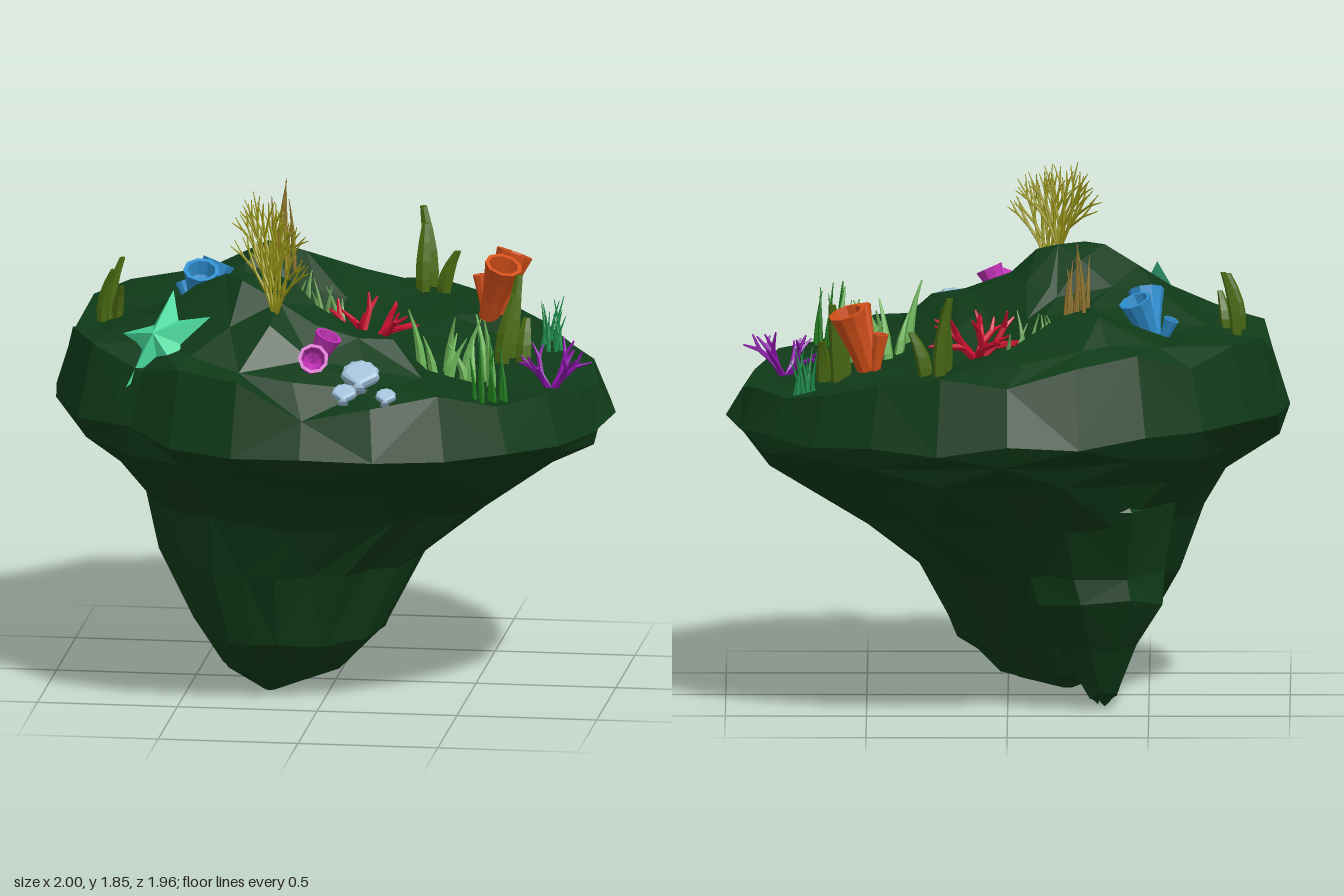
import * as THREE from 'three';
import { mergeGeometries } from 'three/addons/utils/BufferGeometryUtils.js';

const V = (x, y, z) => new THREE.Vector3(x, y, z);
const UP = V(0, 1, 0);

let seed = 7;
const rnd = (a = 0, b = 1) => {
  seed = (seed * 16807) % 2147483647;
  return a + (b - a) * (seed / 2147483647);
};

const mesh = (name, geo, color, side = THREE.FrontSide) => {
  const m = new THREE.Mesh(geo, new THREE.MeshStandardMaterial({ color, flatShading: true, side }));
  m.name = name;
  return m;
};

// Height marks on the island top: x, z, y
const MARKS = [
  [-0.3, 0.4, 1.59], [-0.18, 0.42, 1.58], [-0.13, 0.58, 1.49], [-0.45, 0.33, 1.5],
  [0.1, 0, 1.2], [-0.05, -0.2, 1.22], [0.48, 0.28, 1.14], [0.2, 0.5, 1.39], [0.42, 0.62, 1.24],
  [0.03, 0.72, 1.31], [0.19, 0.78, 1.28], [0.22, 0.88, 1.19], [-0.3, 0.78, 1.27],
  [-0.55, 0.53, 1.33], [-0.78, 0.1, 1.33], [-0.5, -0.15, 1.3], [-0.25, 0.1, 1.36],
  [-0.75, -0.3, 1.34], [-0.3, -0.52, 1.48], [0, -0.75, 1.34], [0.24, -0.7, 1.26],
  [-0.5, -0.65, 1.35], [0.5, -0.45, 1.25], [0.6, -0.15, 1.14], [0.79, 0.15, 1.12],
  [0.62, 0.56, 1.15], [0.72, -0.4, 1.12], [0.93, 0, 1.1], [0, 0.94, 1.13],
  [-0.65, 0.64, 1.2], [-0.93, 0, 1.23], [-0.66, -0.66, 1.26], [0, -0.93, 1.23], [0.66, -0.66, 1.17],
];
function ground(x, z) {
  let sum = 0, total = 0;
  for (const [mx, mz, y] of MARKS) {
    const w = 1 / (Math.hypot(x - mx, z - mz) ** 3 + 0.0004);
    sum += w * y;
    total += w;
  }
  return sum / total;
}
const onGround = (x, z, lift = 0) => V(x, ground(x, z) + lift, z);
const slope = (x, z, e = 0.08) =>
  V(ground(x - e, z) - ground(x + e, z), 2 * e, ground(x, z - e) - ground(x, z + e)).normalize();

// Skin over closed rings listed from the bottom to the top
function loft(rings) {
  const n = rings[0].length, pos = [];
  const tri = (...pts) => pts.forEach(p => pos.push(p.x, p.y, p.z));
  for (let i = 0; i < rings.length - 1; i++) {
    for (let j = 0; j < n; j++) {
      const k = (j + 1) % n, lo = rings[i], hi = rings[i + 1];
      if ((i + j) % 2) { tri(lo[j], hi[j], lo[k]); tri(lo[k], hi[j], hi[k]); }
      else { tri(lo[j], hi[j], hi[k]); tri(lo[j], hi[k], lo[k]); }
    }
  }
  const g = new THREE.BufferGeometry();
  g.setAttribute('position', new THREE.Float32BufferAttribute(pos, 3));
  g.computeVertexNormals();
  return g;
}
// Rough oval ring: y, x range, z range
function oval([y, x0, x1, z0, z1], n, rough) {
  return Array.from({ length: n }, (_, j) => {
    const a = (j / n) * Math.PI * 2, s = 1 + rnd(-rough, rough);
    return V((x0 + x1) / 2 + Math.cos(a) * s * (x1 - x0) / 2, y + rnd(-rough, rough) * 0.35,
      (z0 + z1) / 2 + Math.sin(a) * s * (z1 - z0) / 2);
  });
}

// Rim radius every 15 degrees, from +x round through +z
const RIM = [1, 0.99, 1, 1, 1.01, 1.01, 0.975, 0.97, 0.97, 0.92, 0.99, 1, 1, 0.99, 0.98, 0.98, 0.98, 0.98,
  0.985, 0.97, 0.97, 0.98, 0.97, 0.98];

function island() {
  const n = RIM.length;
  const rings = [
    [0, -0.23, -0.19, 0.16, 0.2], [0.08, -0.38, 0.02, -0.08, 0.31], [0.22, -0.49, 0.18, -0.2, 0.42],
    [0.48, -0.61, 0.31, -0.45, 0.5], [0.68, -0.69, 0.58, -0.67, 0.57],
    [0.85, -0.8, 0.84, -0.82, 0.76], [0.95, -0.93, 0.96, -0.91, 0.88],
  ].map((r, i) => oval(r, n, i ? 0.045 : 0));
  for (const t of [1, 0.94, 0.83, 0.7, 0.56, 0.42, 0.28, 0.14, 0]) {
    rings.push(RIM.map((r, j) => {
      const a = ((j + (t < 0.9 && t > 0 ? rnd(-0.3, 0.3) : 0)) / n) * Math.PI * 2;
      const x = Math.cos(a) * r * t, z = Math.sin(a) * r * t;
      return V(x, t === 1 ? 1.02 - 0.035 * Math.cos(a) + rnd(-0.02, 0.02) : ground(x, z), z);
    }));
  }
  return loft(rings);
}

// Smaller rock spur hanging behind the main one
const spur = () => loft([
  [0.02, -0.35, -0.32, -0.3, -0.25], [0.05, -0.39, -0.28, -0.36, -0.23], [0.22, -0.46, -0.18, -0.44, -0.18],
  [0.4, -0.56, -0.05, -0.55, -0.05], [0.5, -0.57, 0, -0.56, 0], [0.75, -0.62, 0.1, -0.7, 0.1],
  [0.9, -0.5, 0, -0.6, 0],
].map(r => oval(r, 9, 0.05)));

// Tapered rod between two points
function rod(a, b, r0, r1, sides = 5) {
  const d = b.clone().sub(a), len = d.length();
  return new THREE.CylinderGeometry(r1, r0, len, sides).translate(0, len / 2, 0)
    .applyQuaternion(new THREE.Quaternion().setFromUnitVectors(UP, d.normalize()))
    .translate(a.x, a.y, a.z);
}

// Blade that swells, bends to one side and ends in a point
function blade(base, h, r, bend, tip = 0.1) {
  const g = new THREE.CylinderGeometry(r * tip, r * 0.7, h, 5, 4).translate(0, h / 2, 0);
  const p = g.attributes.position, a = rnd(0, 6.28);
  for (let i = 0; i < p.count; i++) {
    const t = p.getY(i) / h, s = 1 + 0.5 * Math.sin(t * Math.PI);
    p.setX(i, p.getX(i) * s + Math.cos(a) * bend * t * t);
    p.setZ(i, p.getZ(i) * s + Math.sin(a) * bend * t * t);
  }
  return g.translate(base.x, base.y, base.z);
}
function tuft(x, z, rx, rz, count, h, r, bend, tip) {
  return mergeGeometries(Array.from({ length: count }, (_, i) => {
    const a = i * 2.4, q = Math.sqrt((i + 0.4) / count);
    const base = onGround(x + Math.cos(a) * q * rx, z + Math.sin(a) * q * rz, -0.03);
    return blade(base, h * rnd(0.65, 1.1) + 0.03, r, bend * rnd(0.5, 1), tip);
  }));
}

// Forking coral; flat axis keeps every fork in one plane
function fork(out, p, dir, len, r, depth, spread, flat) {
  const end = p.clone().addScaledVector(dir, len);
  out.push(rod(p, end, r, r * (depth ? 0.8 : 0.35)));
  if (!depth) return;
  const axis = flat || V(rnd(-1, 1), rnd(-0.3, 0.3), rnd(-1, 1)).normalize();
  for (const s of [-1, 1]) {
    const d = dir.clone().applyAxisAngle(axis, s * spread * rnd(0.5, 1.1));
    fork(out, end, d, len * rnd(0.75, 1), r * 0.8, depth - 1, spread, flat);
  }
}
function coral(base, stems, lean, len, r, depth, spread) {
  const out = [];
  for (let i = 0; i < stems; i++) {
    const a = (i / stems) * Math.PI * 2 + 0.6;
    fork(out, base, V(Math.cos(a) * lean, 1, Math.sin(a) * lean).normalize(), len, r, depth, spread);
  }
  return mergeGeometries(out);
}
function fan(base, along, width, len) {
  const out = [], normal = along.clone().cross(UP).normalize();
  for (let i = -2; i <= 2; i++) {
    const d = UP.clone().addScaledVector(along, i * width).normalize();
    fork(out, base, d, len, 0.008, 3, 0.3, normal);
  }
  return mergeGeometries(out);
}

// Flared hollow sponge tube from base to mouth
function sponge(base, mouth, r) {
  const d = mouth.clone().sub(base), h = d.length();
  const pts = [[0.5, 0], [0.62, 0.4], [0.85, 0.8], [1, 1], [0.78, 1], [0.6, 0.75], [0, 0.55]]
    .map(([x, y]) => new THREE.Vector2(x * r, y * h));
  return new THREE.LatheGeometry(pts, 9)
    .applyQuaternion(new THREE.Quaternion().setFromUnitVectors(UP, d.normalize()))
    .translate(base.x, base.y, base.z);
}

// Five-armed star: a cone whose rim alternates between tips and notches
function starfish(R) {
  const g = new THREE.ConeGeometry(1, 0.06, 10), p = g.attributes.position;
  for (let i = 0; i < p.count; i++) {
    const x = p.getX(i), z = p.getZ(i);
    const notch = Math.round(Math.atan2(x, z) / (Math.PI / 5)) % 2 !== 0;
    p.setX(i, x * R * (notch ? 0.44 : 1));
    p.setZ(i, z * R * (notch ? 0.44 : 1));
  }
  return g;
}

// Ribbed shell: fan outline with a small hinge
function shell(w) {
  const s = new THREE.Shape().moveTo(-0.2 * w, -0.5 * w);
  s.lineTo(0.2 * w, -0.5 * w).lineTo(0.12 * w, -0.36 * w);
  for (let i = 0; i <= 14; i++) {
    const a = -0.4 + (i / 14) * (Math.PI + 0.8), r = w * (i % 2 ? 0.5 : 0.46);
    s.lineTo(Math.cos(a) * r, Math.sin(a) * r * 0.85);
  }
  s.lineTo(-0.12 * w, -0.36 * w);
  return new THREE.ExtrudeGeometry(s, {
    depth: 0.008, bevelEnabled: true, bevelThickness: w * 0.15, bevelSize: w * 0.12, bevelOffset: -w * 0.12, bevelSegments: 2,
  });
}

export function createModel() {
  seed = 7;
  const g = new THREE.Group();
  g.name = 'reefIsland';
  const add = (...args) => { const m = mesh(...args); g.add(m); return m; };

  add('island', island(), 0x0f3a18);
  add('rockSpur', spur(), 0x0f3a18);

  // Sponges: colour, then base x, z and mouth x, y, z, radius
  for (const [name, color, tubes] of [
    ['blueSponge', 0x2f8fd0, [[-0.51, -0.15, -0.49, 1.46, -0.06, 0.065], [-0.52, -0.18, -0.45, 1.45, -0.23, 0.06], [-0.54, -0.2, -0.58, 1.38, -0.22, 0.028]]],
    ['orangeSponge', 0xd4501a, [[0.49, -0.46, 0.57, 1.45, -0.51, 0.068], [0.48, -0.44, 0.55, 1.44, -0.36, 0.068], [0.47, -0.49, 0.45, 1.37, -0.5, 0.03]]],
    ['pinkSponge', 0xc030b4, [[0, 0.69, 0.03, 1.36, 0.82, 0.055], [0.01, 0.69, 0.07, 1.42, 0.71, 0.05]]],
  ]) {
    add(name, mergeGeometries(tubes.map(([x, z, mx, my, mz, r]) =>
      sponge(onGround(x, z, -0.03), V(mx, my, mz), r))), color, THREE.DoubleSide);
  }

  // Thick stalks: x, z, height
  for (const [x, z, h] of [[0.24, -0.7, 0.3], [0.6, -0.13, 0.31], [-0.81, 0.07, 0.23]]) {
    const k = h / 0.3;
    add('stalks', mergeGeometries([[0, -0.06, 1], [-0.02, 0.03, 0.85], [0.05, 0, 0.55]].map(([dx, dz, s]) =>
      blade(onGround(x + dx * k, z + dz * k, -0.02), h * s, 0.033 * k, 0.05, 0.4))), 0x4a6a12);
  }

  // Grasses
  add('paleGrass', tuft(0.48, 0.28, 0.14, 0.13, 10, 0.24, 0.025, 0.07), 0x6fb85a);
  add('paleGrassSmall', tuft(-0.1, -0.22, 0.11, 0.11, 9, 0.16, 0.016, 0.05), 0x6fa85a);
  add('darkGrass', tuft(0.62, 0.56, 0.07, 0.04, 9, 0.23, 0.012, 0.04), 0x1f7a1c);
  add('tealGrass', tuft(0.72, -0.4, 0.04, 0.07, 10, 0.17, 0.011, 0.04), 0x1c8a4a);
  add('goldGrass', tuft(-0.25, -0.44, 0.05, 0.09, 9, 0.22, 0.011, 0.03), 0x8f742c);

  // Corals
  add('redCoral', coral(onGround(0.11, -0.01, -0.01), 5, 1.1, 0.085, 0.017, 2, 0.6), 0xc8102e);
  add('purpleCoral', coral(onGround(0.79, 0.15, -0.02), 4, 0.8, 0.075, 0.013, 2, 0.55), 0x8a14a8);
  const along = V(0.77, 0, 0.64);
  add('fanCoral', fan(onGround(-0.18, 0.42, -0.03), along, 0.26, 0.09), 0x9a9618);
  add('fanCoral', fan(onGround(-0.14, 0.58, -0.03), along, 0.26, 0.09), 0x9a9618);

  // Starfish and shells lie against the slope
  const star = add('starfish', starfish(0.21), 0x46d69a);
  const n = V(-0.5, 0.62, 0.6).normalize();
  star.position.copy(onGround(-0.54, 0.53)).addScaledVector(n, 0.045);
  star.quaternion.setFromUnitVectors(UP, n).multiply(new THREE.Quaternion().setFromAxisAngle(UP, 0.3));
  for (const [x, z, w] of [[0.19, 0.77, 0.14], [0.15, 0.87, 0.09], [0.3, 0.87, 0.075]]) {
    const s = add('shell', shell(w), 0x9dbdd6);
    s.position.copy(onGround(x, z)).addScaledVector(slope(x, z), 0.025);
    s.rotation.x = -0.85;
  }
  return g;
}
